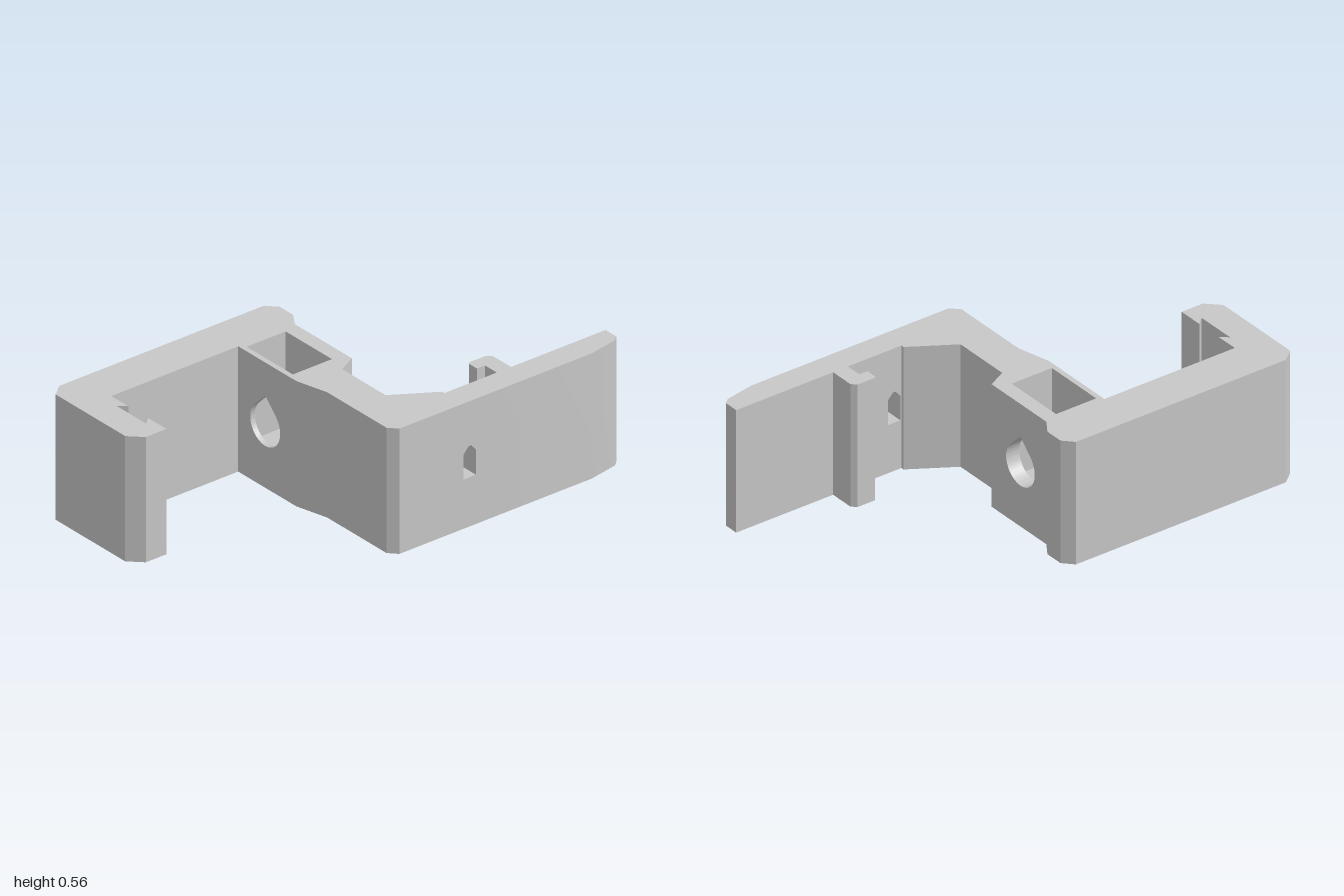
import * as THREE from 'three';
import { toCreasedNormals } from 'three/addons/utils/BufferGeometryUtils.js';

const HEIGHT = 0.56;

// Closed shape from [x, y] pairs
const polygon = (pts) => new THREE.Shape(pts.map(([x, y]) => new THREE.Vector2(x, y)));

// Extrusion that is smooth over shallow bends and sharp elsewhere
const extrude = (shape, depth) => toCreasedNormals(
  new THREE.ExtrudeGeometry(shape, { depth, bevelEnabled: false, curveSegments: 32 }), 0.35);

// Upright prism from a plan outline of [x, z] pairs
const prism = (plan, height = HEIGHT) =>
  extrude(polygon(plan.map(([x, z]) => [x, -z])), height).rotateX(-Math.PI / 2);

const rect = (x0, y0, x1, y1) => [[x0, y0], [x1, y0], [x1, y1], [x0, y1]];

export function createModel() {
  const group = new THREE.Group();
  const gray = new THREE.MeshStandardMaterial({ color: 0xc8c8c8 });
  gray.name = 'light gray plastic';

  const add = (name, geo) => {
    const mesh = new THREE.Mesh(geo, gray);
    mesh.name = name;
    group.add(mesh);
  };

  // Nut pocket limits in plan, and the height of its floor
  const px0 = -0.338, px1 = -0.05, pz0 = -0.02, pz1 = 0.177, floorY = 0.135;
  const back = -0.085, front = 0.2;

  // Long front arm with the dovetail groove in its turned end
  add('frontArm', prism([
    [px0, back], [-0.361, back], [-0.424, -0.127], [-0.508, -0.127], [-0.553, -0.085],
    [-0.553, 0.945], [-0.508, 1], [-0.075, 1], [-0.018, 0.942], [-0.018, 0.838],
    [-0.133, 0.838], [-0.101, 0.873], [-0.286, 0.873], [-0.255, 0.838],
    [-0.361, 0.84], [-0.361, front], [px0, front],
  ]));

  // Web from the pocket to the rear arm, with its gusset
  const slotFront = -0.19, slotBack = -0.27, armIn = 0.44, armOut = 0.553;
  add('web', prism([
    [px1, back], [-0.006, back], [0.038, 0], [0.308, 0], [0.426, slotFront],
    [armOut, slotFront], [armOut, 0.128], [0.516, 0.163], [0.147, 0.163], [0, front], [px1, front],
  ]));

  // Pocket walls pierced by a teardrop bolt hole
  const holeX = -0.193, holeY = 0.28, r = 0.093;
  const pocketWall = (z0, z1) => {
    const wall = polygon(rect(px0, 0, px1, HEIGHT));
    const hole = new THREE.Path();
    hole.absarc(holeX, holeY, r, Math.PI * 0.75, Math.PI * 2.25, false);
    hole.lineTo(holeX, holeY + r * Math.SQRT2);
    hole.closePath();
    wall.holes.push(hole);
    return extrude(wall, z1 - z0).translate(0, 0, z0);
  };
  add('pocketBackWall', pocketWall(back, pz0));
  add('pocketFrontWall', pocketWall(pz1, front));
  add('pocketFloor', prism(rect(px0, pz0, px1, pz1), floorY));

  // Panel of the rear arm with a small pointed slot through it
  const panel = polygon(rect(-slotFront, 0, -slotBack, HEIGHT));
  panel.holes.push(polygon([
    [0.195, 0.22], [0.257, 0.22], [0.257, 0.332], [0.232, 0.36], [0.22, 0.36], [0.195, 0.332],
  ]));
  add('slotPanel', extrude(panel, armOut - armIn).rotateY(Math.PI / 2).translate(armIn, 0, 0));

  // Rear arm with the small clip hook
  add('rearArm', prism([
    [armOut, slotBack], [armIn, slotBack], [armIn, -0.453], [0.366, -0.453], [0.366, -0.413],
    [0.316, -0.413], [0.308, -0.42], [0.308, -0.505], [0.328, -0.525], [armIn, -0.525],
    [armIn, -1], [0.508, -1], [0.528, -0.975], [armOut, -0.84],
  ]));

  return group;
}
